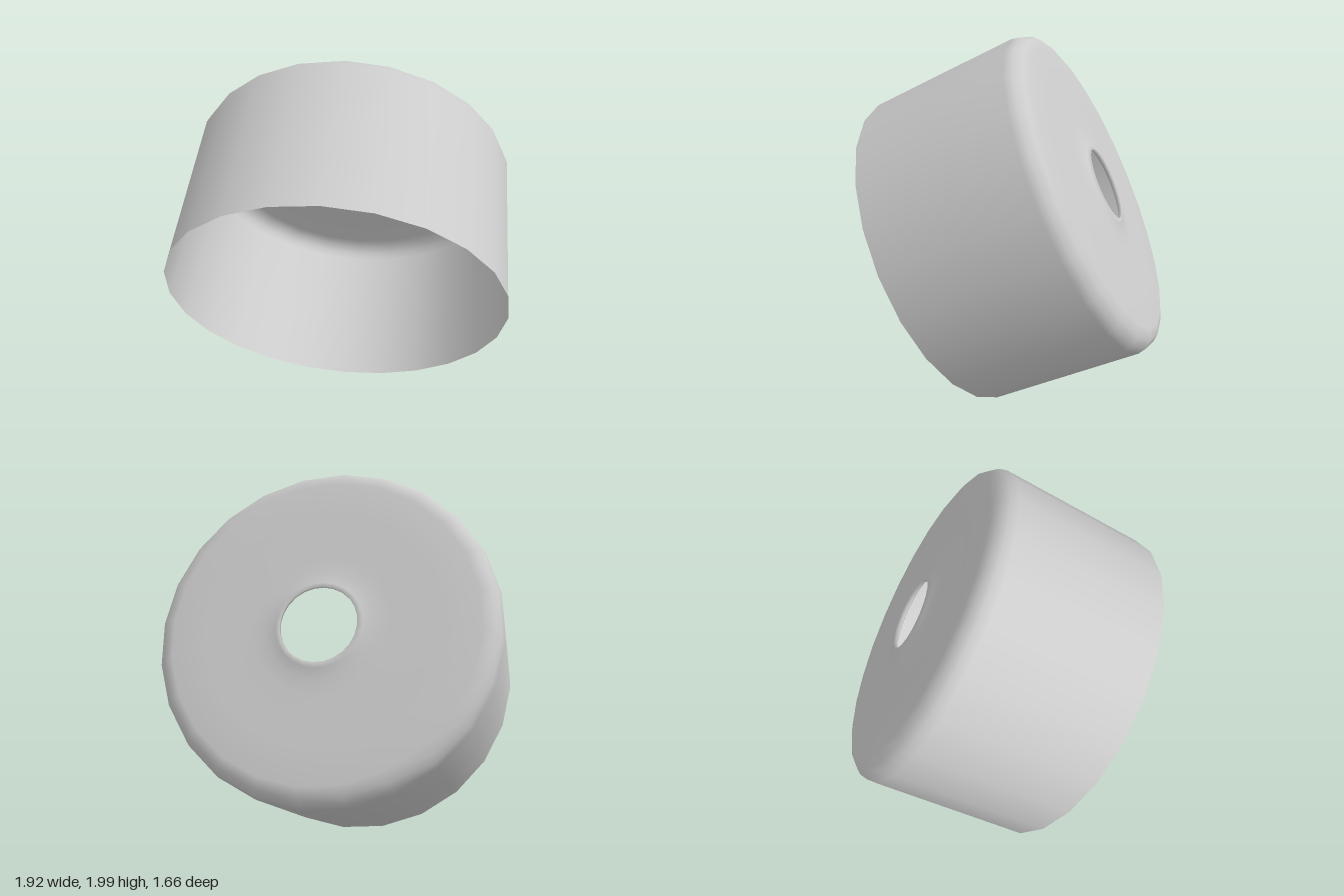
import * as THREE from 'three';

// Tilted open cup: thin wall, rounded back edge, floor with a flanged round hole.
export function createModel() {
  const group = new THREE.Group();
  group.name = 'tiltedCup';
  const material = new THREE.MeshStandardMaterial({ color: 0xcccccc, side: THREE.DoubleSide });

  // [radius, distance from the rim]: out along the outer skin, back along the inner one
  const profile = [
    [0.9, 0], [0.9, 0.45], [0.9, 0.84], [0.887, 0.885], [0.855, 0.92], [0.8, 0.94],
    [0.6, 0.942], [0.36, 0.942], [0.28, 0.948], [0.225, 0.958], [0.2, 0.97],
    [0.2, 0.95], [0.225, 0.938], [0.28, 0.928], [0.36, 0.92],
    [0.6, 0.92], [0.79, 0.918], [0.842, 0.9], [0.872, 0.868], [0.885, 0.825], [0.892, 0.45], [0.9, 0],
  ].map(([r, y]) => new THREE.Vector2(r, y));

  const shell = new THREE.Mesh(new THREE.LatheGeometry(profile, 24), material);
  shell.name = 'cupShell';

  // Local y runs from the rim to the floor; local z points to the lowest rim corner
  const yAxis = new THREE.Vector3(-0.195, 0.45, -0.872).normalize();
  const zAxis = new THREE.Vector3(0, -1, 0).projectOnPlane(yAxis).normalize();
  const xAxis = new THREE.Vector3().crossVectors(yAxis, zAxis);
  shell.quaternion.setFromRotationMatrix(new THREE.Matrix4().makeBasis(xAxis, yAxis, zAxis));
  shell.position.set(0.082, 0.805, 0.39);
  group.add(shell);
  return group;
}
